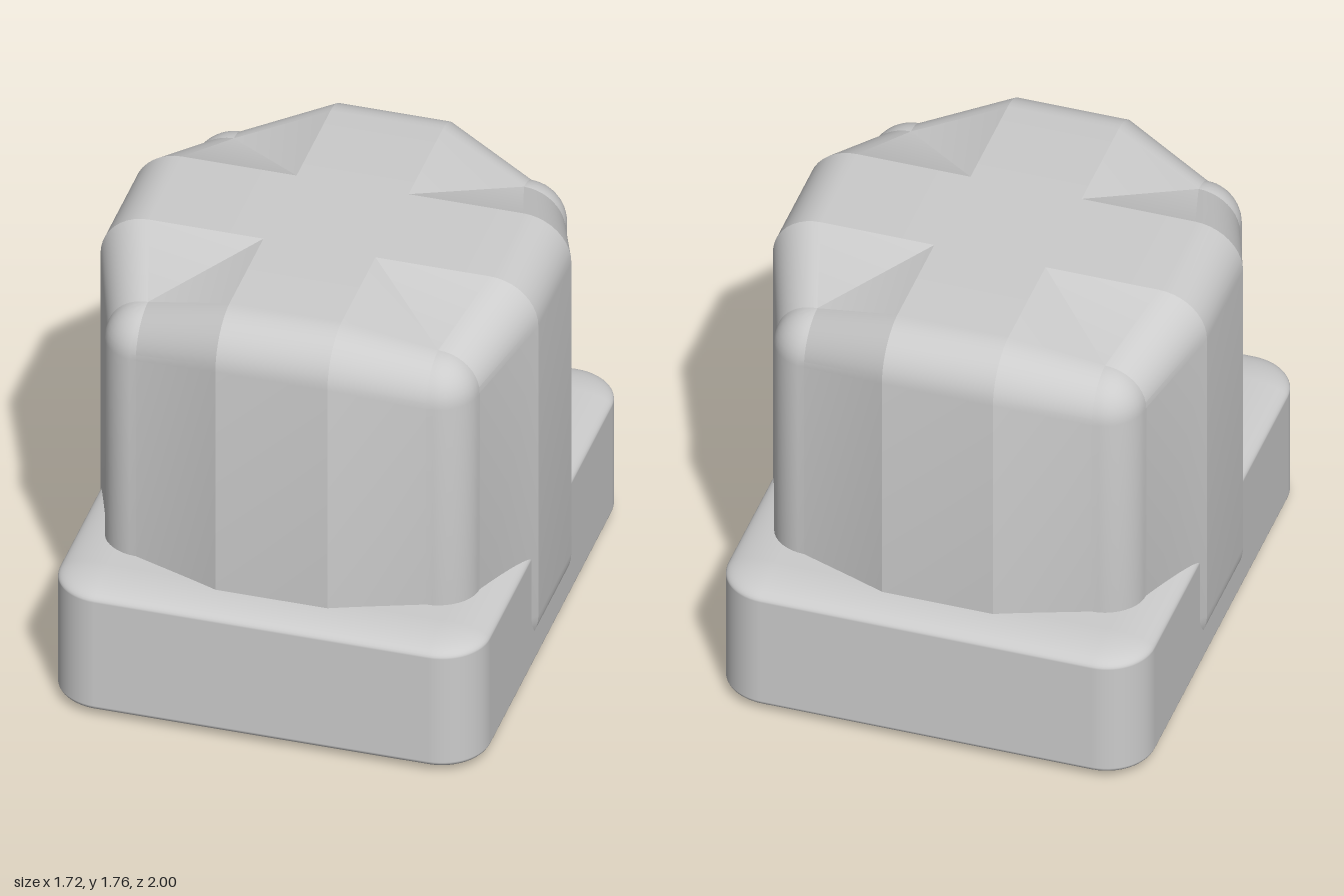
import * as THREE from 'three';
import { toCreasedNormals } from 'three/addons/utils/BufferGeometryUtils.js';
import { RoundedBoxGeometry } from 'three/addons/geometries/RoundedBoxGeometry.js';

const BAND = 0.22;      // half width of the raised cross bands
const BAND_IN = 0.67;   // where the band's round-over starts
const BAND_R = 0.19;
const CORNER = 0.57;    // centre of the corner columns
const CORNER_R = 0.163;
const MID = 0.91;       // mid height of the cap
const BAND_H = 0.66;    // mid height to round-over centre
const CORNER_H = 0.56;
const STEPS = 10;

// quarter turns about the vertical axis, +x towards +z
function turn(x, z, q) {
  for (let i = 0; i < q; i++) [x, z] = [-z, x];
  return [x, z];
}

// plan outline: band edge, rounded corner, band edge, four times round
function outline() {
  const points = [];
  const add = (x, z, a, r, h, q) => {
    const [px, pz] = turn(x, z, q);
    const [dx, dz] = turn(Math.cos(a), Math.sin(a), q);
    points.push({ px, pz, dx, dz, r, h });
  };
  for (let q = 0; q < 4; q++) {
    add(BAND_IN, BAND, 0, BAND_R, BAND_H, q);
    for (let i = 0; i <= STEPS; i++) {
      add(CORNER, CORNER, (i / STEPS) * Math.PI / 2, CORNER_R, CORNER_H, q);
    }
    add(BAND, BAND_IN, Math.PI / 2, BAND_R, BAND_H, q);
  }
  return points;
}

function capGeometry() {
  const positions = [];
  const tri = (a, b, c) => {
    const A = new THREE.Vector3(...a), B = new THREE.Vector3(...b), C = new THREE.Vector3(...c);
    if (B.sub(A).cross(C.sub(A)).length() > 1e-8) positions.push(...a, ...b, ...c);
  };

  // walls and round-overs: rings from the bottom edge to the top edge
  const plan = outline();
  const rings = [];
  for (const side of [-1, 1]) {
    for (let i = 0; i <= STEPS; i++) {
      const t = (side < 0 ? i / STEPS - 1 : i / STEPS) * Math.PI / 2;
      const c = Math.cos(t), s = Math.sin(t);
      rings.push(plan.map(p => [p.px + p.dx * p.r * c, MID + side * p.h + p.r * s, p.pz + p.dz * p.r * c]));
    }
  }
  for (let j = 0; j < rings.length - 1; j++) {
    for (let i = 0; i < plan.length; i++) {
      const k = (i + 1) % plan.length;
      tri(rings[j][i], rings[j + 1][i], rings[j][k]);
      tri(rings[j][k], rings[j + 1][i], rings[j + 1][k]);
    }
  }

  // end faces: flat cross with sunken, valley-folded corners
  for (const side of [1, -1]) {
    const face = (a, b, c) => (side > 0 ? tri(a, b, c) : tri(a, c, b));
    const flat = BAND_H + BAND_R, low = CORNER_H + CORNER_R;
    for (let q = 0; q < 4; q++) {
      const at = (x, z, h) => {
        const [tx, tz] = turn(x, z, q);
        return [tx, MID + side * h, tz];
      };
      const inner = at(BAND, BAND, flat), inner2 = at(BAND, -BAND, flat);
      const edge = at(BAND_IN, BAND, flat), edge2 = at(BAND_IN, -BAND, flat);
      const corner = at(CORNER, CORNER, low);
      face(inner, corner, edge);
      face(inner, at(BAND, BAND_IN, flat), corner);
      face(inner, edge, edge2);
      face(inner, edge2, inner2);
      face(at(0, 0, flat), inner, inner2);
    }
  }

  const geometry = new THREE.BufferGeometry();
  geometry.setAttribute('position', new THREE.Float32BufferAttribute(positions, 3));
  return toCreasedNormals(geometry, 0.29);
}

export function createModel() {
  const group = new THREE.Group();
  const material = new THREE.MeshStandardMaterial({ color: 0xcccccc });

  // base slab with softly flattened edges
  const slab = new RoundedBoxGeometry(1.69, 2, 2, 8, 0.19);
  slab.scale(1, 0.29, 1);
  slab.translate(0, 0.29, 0);
  const base = new THREE.Mesh(slab, material);
  base.name = 'base';

  // faceted cap set into the base
  const cap = new THREE.Mesh(capGeometry(), material);
  cap.name = 'cap';

  group.add(base, cap);
  return group;
}
